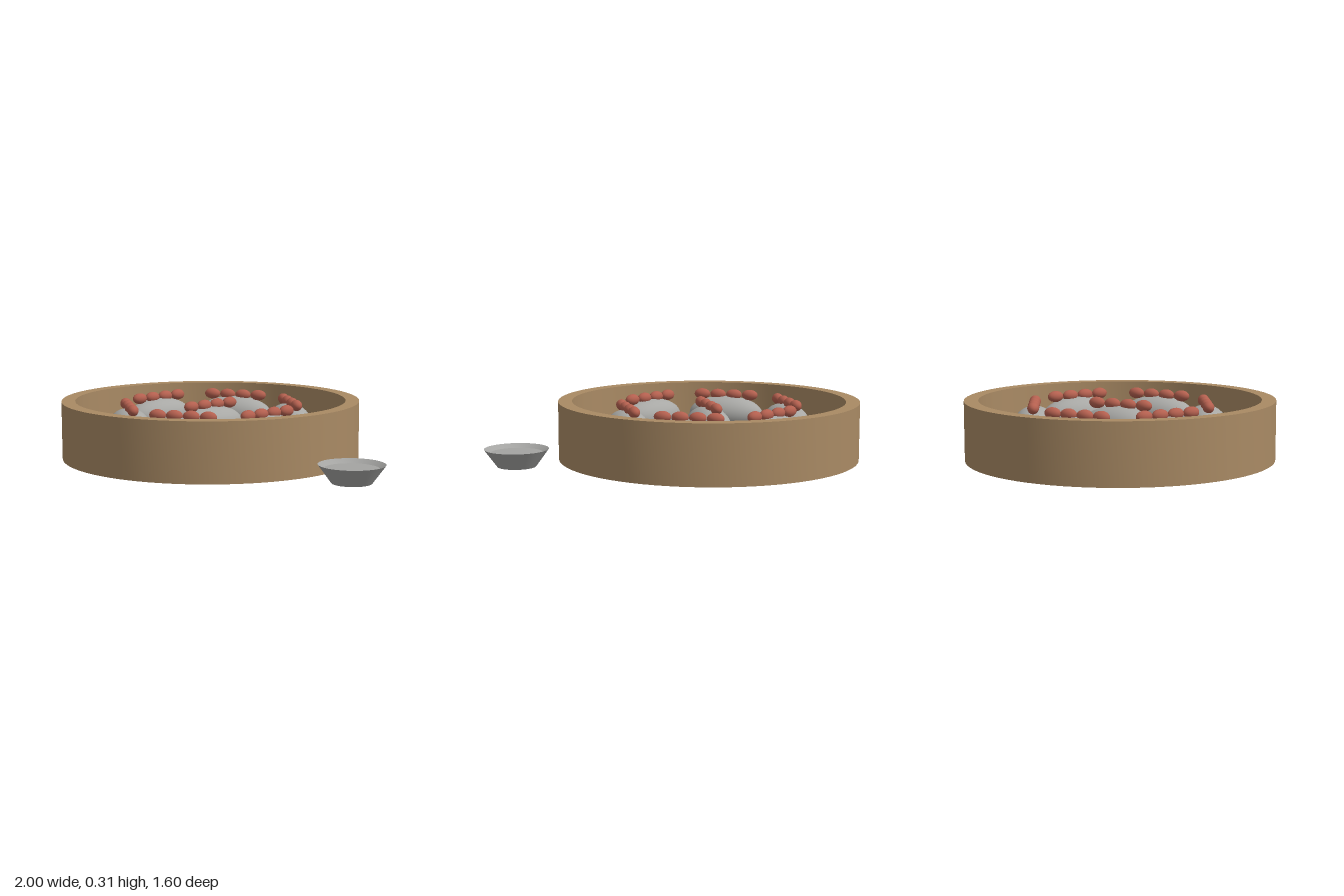
import * as THREE from 'three';
import { toCreasedNormals } from 'three/addons/utils/BufferGeometryUtils.js';

const flat = (name, color) => {
  const m = new THREE.MeshStandardMaterial({ color });
  m.name = name;
  return m;
};

export function createModel() {
  const bamboo = flat('bamboo', 0xa98a64);
  const darkBase = flat('dark base', 0x302424);
  const paper = flat('pale paper', 0xa2a29f);
  const dough = flat('dough', 0xa8a8a5);
  const china = flat('china', 0xa4a4a2);
  const red = flat('red filling', 0xb4604f);

  const model = new THREE.Group();
  model.name = 'dumplingSteamer';
  const add = (parent, name, geometry, material, x = 0, y = 0, z = 0) => {
    const mesh = new THREE.Mesh(geometry, material);
    mesh.name = name;
    mesh.position.set(x, y, z);
    parent.add(mesh);
    return mesh;
  };

  const basket = new THREE.Group();
  basket.name = 'basket';
  basket.position.x = -0.2;
  model.add(basket);

  // Round basket wall, open at top and bottom
  const ring = new THREE.Shape().absarc(0, 0, 0.8, 0, Math.PI * 2, false);
  ring.holes.push(new THREE.Path().absarc(0, 0, 0.727, 0, Math.PI * 2, true));
  const wall = new THREE.ExtrudeGeometry(ring, { depth: 0.308, bevelEnabled: false, curveSegments: 40 });
  wall.rotateX(-Math.PI / 2);
  add(basket, 'basketWall', toCreasedNormals(wall, 0.6), bamboo);

  // Recessed base and the paper lining it
  add(basket, 'basketBase', new THREE.CylinderGeometry(0.727, 0.727, 0.06, 40), darkBase, 0, 0.048);
  add(basket, 'paperLiner', new THREE.CylinderGeometry(0.695, 0.695, 0.008, 40), paper, 0, 0.082);

  // Dumplings: one in the middle, six around it lying along the circle
  const body = new THREE.SphereGeometry(1, 28, 18).scale(0.11, 0.098, 0.211);
  const bead = new THREE.SphereGeometry(1, 14, 10).scale(0.03, 0.03, 0.045);
  const addDumpling = (radius, angle) => {
    const dumpling = new THREE.Group();
    dumpling.name = 'dumpling';
    dumpling.position.set(radius * Math.cos(angle), 0.17, -radius * Math.sin(angle));
    dumpling.rotation.y = angle;
    add(dumpling, 'dumplingBody', body, dough);
    for (let i = 0; i < 4; i++) {
      add(dumpling, 'pleat', bead, red, 0, 0.107, (i - 1.5) * 0.0915);
    }
    basket.add(dumpling);
  };
  addDumpling(0, 0);
  for (let i = 0; i < 6; i++) addDumpling(0.443, (i * Math.PI) / 3);

  // Small dipping bowl beside the basket
  const profile = [[0, 0], [0.1, 0], [0.167, 0.092], [0.135, 0.072], [0, 0.072]]
    .map(([x, y]) => new THREE.Vector2(x, y));
  add(model, 'dippingBowl', toCreasedNormals(new THREE.LatheGeometry(profile, 32), 0.5), china, 0.833);

  return model;
}
